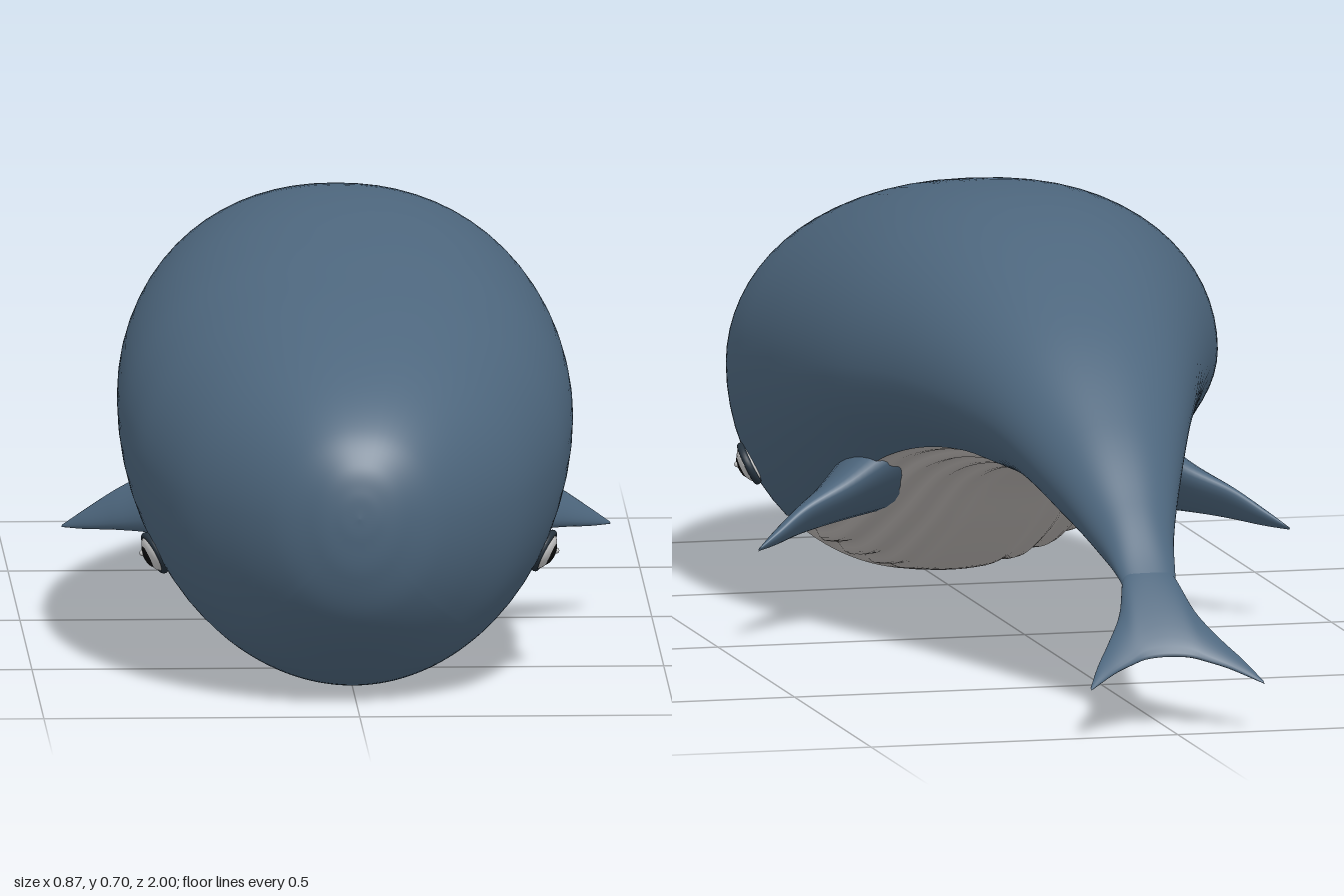
import * as THREE from 'three';

const skin = new THREE.MeshStandardMaterial({ color: 0x4d667d });
const pale = new THREE.MeshStandardMaterial({ color: 0xbab5b2 });
const white = new THREE.MeshStandardMaterial({ color: 0xe8e8e8 });
const dark = new THREE.MeshStandardMaterial({ color: 0x0c0c0c });
const lidMat = new THREE.MeshStandardMaterial({ color: 0x26323d });

// Body stations from tail to nose: z, top y, bottom y, half width, height of widest point
const STATIONS = [
  [-0.92, 0.142, 0.126, 0.012, 0.134], [-0.86, 0.196, 0.163, 0.034, 0.18],
  [-0.8, 0.25, 0.203, 0.046, 0.226], [-0.72, 0.33, 0.222, 0.064, 0.275],
  [-0.6, 0.44, 0.256, 0.105, 0.35], [-0.42, 0.565, 0.304, 0.17, 0.43],
  [-0.2, 0.66, 0.295, 0.25, 0.46], [0, 0.7, 0.24, 0.315, 0.45],
  [0.2, 0.7, 0.132, 0.35, 0.43], [0.4, 0.672, 0.046, 0.36, 0.4],
  [0.55, 0.638, 0.014, 0.347, 0.37], [0.66, 0.607, 0.004, 0.32, 0.345],
  [0.78, 0.56, 0.025, 0.272, 0.325], [0.88, 0.507, 0.084, 0.205, 0.315],
  [0.95, 0.454, 0.152, 0.138, 0.315], [0.985, 0.405, 0.222, 0.077, 0.318],
  [0.997, 0.362, 0.28, 0.035, 0.32], [1, 0.32, 0.32, 0, 0.32],
];
const SUB = 8, LOW = 64, HIGH = 48;
const BELLY0 = 5 * SUB, BELLY1 = 11 * SUB;
const heights = new THREE.CatmullRomCurve3(STATIONS.map(s => new THREE.Vector3(s[0], s[1], s[2])), false, 'catmullrom');
const widths = new THREE.CatmullRomCurve3(STATIONS.map(s => new THREE.Vector3(s[0], s[3], s[4])), false, 'catmullrom');
const ROWS = (STATIONS.length - 1) * SUB;

// Point on the body skin; angle runs from the keel (0) round to the back (PI)
function bodyPoint(row, angle, inset = 0) {
  const h = heights.getPoint(row / ROWS), w = widths.getPoint(row / ROWS);
  const c = Math.cos(angle), r = c > 0 ? w.z - h.z : h.y - w.z;
  const s = Math.sin(angle);
  const bulge = c < 0 ? Math.sign(s) * Math.abs(s) ** 0.92 : s;
  return [(w.y - inset) * bulge, w.z - (r - inset) * c, h.x];
}

// Half angle covered by the belly patch, narrowing at its rear end
function bellyAngle(row) {
  const z = heights.getPoint(row / ROWS).x;
  return 0.4 + 0.38 * THREE.MathUtils.smoothstep(z, -0.42, -0.26);
}

// Grid of points to an indexed smooth geometry
function gridGeometry(rows, cols, wrap, point, skip = () => false) {
  const pos = [], idx = [], n = wrap ? cols : cols + 1;
  for (let i = 0; i <= rows; i++) for (let j = 0; j < n; j++) pos.push(...point(i, j));
  for (let i = 0; i < rows; i++) for (let j = 0; j < cols; j++) {
    if (skip(i, j)) continue;
    const k = (j + 1) % n, a = i * n + j, b = i * n + k, c = a + n, d = b + n;
    idx.push(a, b, c, b, d, c);
  }
  const g = new THREE.BufferGeometry();
  g.setAttribute('position', new THREE.Float32BufferAttribute(pos, 3));
  g.setIndex(idx);
  g.computeVertexNormals();
  return g;
}

// Thin blade lofted through sections [leading point, trailing point, half thickness]
function blade(sections, rows = 32, cols = 24) {
  const V = a => new THREE.Vector3(...a);
  const lead = new THREE.CatmullRomCurve3(sections.map(s => V(s[0])), false, 'catmullrom');
  const trail = new THREE.CatmullRomCurve3(sections.map(s => V(s[1])), false, 'catmullrom');
  const thick = new THREE.CatmullRomCurve3(sections.map((s, i) => V([i, s[2], 0])), false, 'catmullrom');
  const mid = t => lead.getPoint(t).add(trail.getPoint(t)).multiplyScalar(0.5);
  return gridGeometry(rows, cols, true, (i, j) => {
    const t = i / rows, phi = (j / cols) * Math.PI * 2;
    const chord = lead.getPoint(t).sub(trail.getPoint(t)).multiplyScalar(0.5);
    const span = mid(Math.min(1, t + 0.01)).sub(mid(Math.max(0, t - 0.01)));
    const normal = span.cross(chord).normalize();
    return mid(t).addScaledVector(chord, Math.cos(phi))
      .addScaledVector(normal, Math.sin(phi) * thick.getPoint(t).y).toArray();
  });
}

function add(parent, name, geometry, material) {
  const mesh = new THREE.Mesh(geometry, material);
  mesh.name = name;
  parent.add(mesh);
  return mesh;
}

function makeEye() {
  const eye = new THREE.Group();
  add(eye, 'eyeball', new THREE.SphereGeometry(0.036, 32, 20), white).scale.set(1, 0.85, 0.45);
  const pupil = add(eye, 'pupil', new THREE.SphereGeometry(0.019, 24, 16), dark);
  pupil.scale.z = 0.4;
  pupil.position.z = 0.011;
  const glint = add(eye, 'glint', new THREE.SphereGeometry(0.005, 12, 8), white);
  glint.position.set(0.005, 0.008, 0.017);
  add(eye, 'eyelid', new THREE.TorusGeometry(0.036, 0.006, 12, 40), lidMat).scale.set(1, 0.86, 1);
  eye.position.set(0.308, 0.2, 0.565);
  eye.lookAt(0.308 + 0.84, 0.2 - 0.42, 0.565 + 0.2);
  return eye;
}

export function createModel() {
  const whale = new THREE.Group();
  whale.name = 'whale';

  // Body skin, left open where the belly sits
  add(whale, 'body', gridGeometry(ROWS, LOW + HIGH, true, (i, j) => {
    const A = bellyAngle(i);
    const angle = j <= LOW ? -A + (2 * A * j) / LOW : A + ((2 * Math.PI - 2 * A) * (j - LOW)) / HIGH;
    return bodyPoint(i, angle);
  }, (i, j) => j < LOW && i >= BELLY0 && i < BELLY1), skin);

  // Belly with lengthwise grooves, sunk slightly inside its rim
  const bellyRows = BELLY1 - BELLY0;
  add(whale, 'belly', gridGeometry(bellyRows, LOW, false, (i, j) => {
    const v = (2 * j) / LOW - 1, A = bellyAngle(BELLY0 + i);
    const rim = Math.min(1, i / 2, (bellyRows - i) / 2, (1 - Math.abs(v)) * 16);
    const groove = THREE.MathUtils.smoothstep(Math.abs(v), 0.1, 0.45) * (0.5 - 0.5 * Math.cos(v * Math.PI * 11));
    return bodyPoint(BELLY0 + i, v * A, rim * (0.006 + 0.009 * groove));
  }), pale);

  // Flippers and eyes, mirrored
  const flipper = blade([
    [[0.19, 0.18, 0.34], [0.19, 0.31, 0.05], 0.06],
    [[0.295, 0.174, 0.18], [0.27, 0.255, 0.045], 0.032],
    [[0.35, 0.166, 0.105], [0.345, 0.217, 0.033], 0.017],
    [[0.4, 0.158, 0.047], [0.395, 0.183, 0.015], 0.009],
    [[0.434, 0.154, 0.006], [0.433, 0.157, 0.002], 0.001],
  ]);
  for (const [side, label] of [[1, 'left'], [-1, 'right']]) {
    const half = new THREE.Group();
    half.name = label + 'Side';
    add(half, label + 'Flipper', flipper, skin);
    const eye = makeEye();
    eye.name = label + 'Eye';
    half.add(eye);
    half.scale.x = side;
    whale.add(half);
  }

  // Tail flukes: sections from the middle out to the tip, then mirrored
  const slope = z => (z > -0.9 ? 0.145 + (z + 0.9) * 0.83 : 0.145 + (z + 0.9) * 0.65);
  const outer = [[0, -0.76, -0.94, 0.016], [0.035, -0.79, -0.943, 0.015], [0.06, -0.86, -0.952, 0.011],
    [0.09, -0.908, -0.966, 0.008], [0.118, -0.952, -0.984, 0.005], [0.141, -0.995, -1, 0.001]];
  const all = [...outer.slice(1).reverse().map(([x, ...r]) => [-x, ...r]), ...outer];
  add(whale, 'tailFlukes', blade(all.map(([x, a, b, t]) => [[x, slope(a), a], [x, slope(b), b], t]), 60), skin);

  return whale;
}
